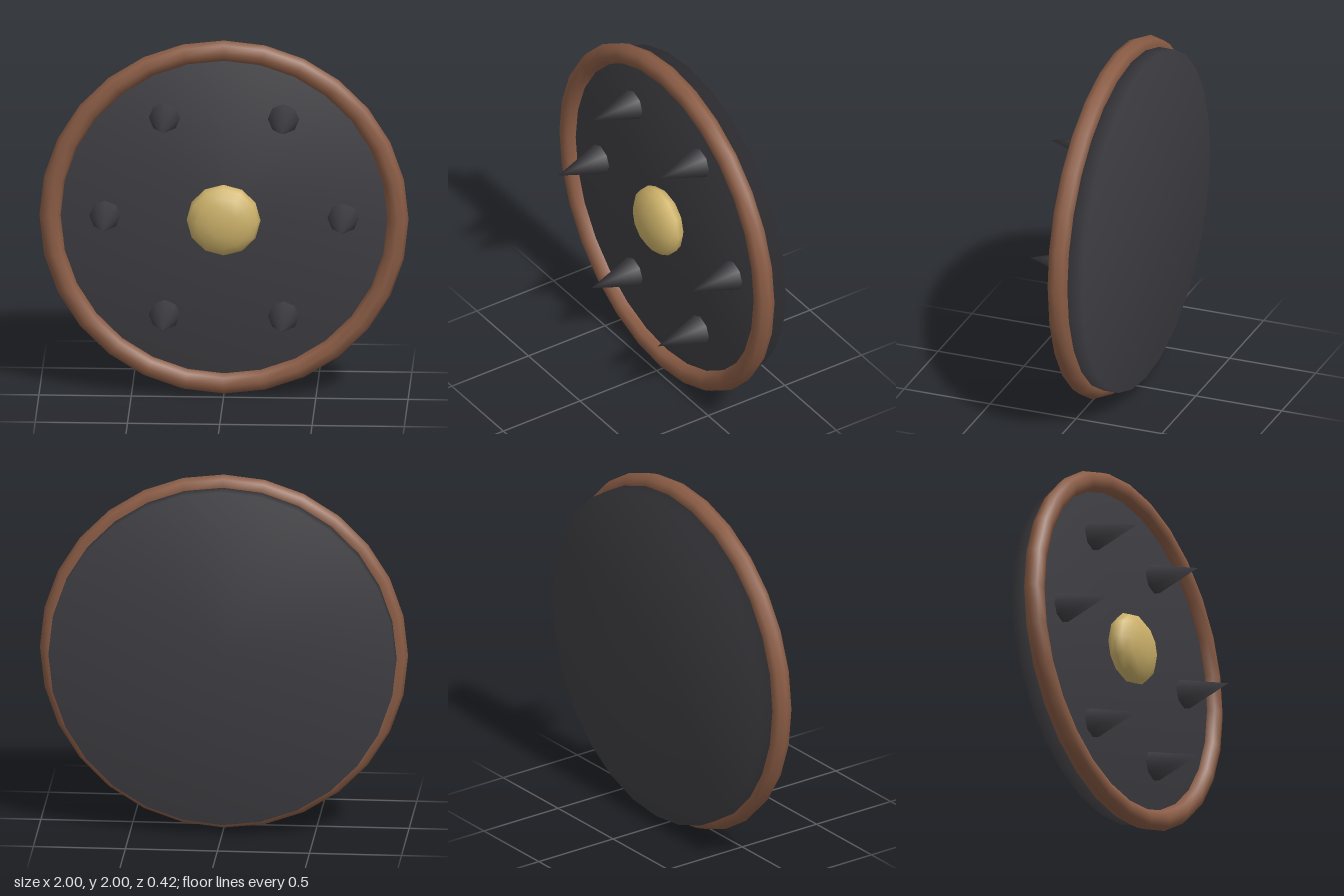
import * as THREE from 'three';
import { mergeVertices } from 'three/addons/utils/BufferGeometryUtils.js';

const CENTRE_Y = 1;
const FACE_Z = -0.067; // front face of the disc
const BACK_Z = -0.21;
const RADIUS = 0.9425;
const TUBE = 0.0575;

// Weld corners so the shading rolls softly over the edges
function soften(geometry) {
  geometry.deleteAttribute('normal');
  geometry.deleteAttribute('uv');
  const welded = mergeVertices(geometry, 1e-4);
  welded.computeVertexNormals();
  return welded;
}

export function createModel() {
  const model = new THREE.Group();
  model.name = 'roundShield';

  const iron = new THREE.MeshStandardMaterial({ color: 0x3e3d42 });
  const leather = new THREE.MeshStandardMaterial({ color: 0x8a5c45 });
  const brass = new THREE.MeshStandardMaterial({ color: 0xcdb26a });

  const add = (name, geometry, material, x, y, z) => {
    const mesh = new THREE.Mesh(geometry, material);
    mesh.name = name;
    mesh.position.set(x, CENTRE_Y + y, z);
    model.add(mesh);
    return mesh;
  };

  // Thick disc, axis turned to face the front
  const depth = FACE_Z - BACK_Z;
  const disc = new THREE.CylinderGeometry(RADIUS, RADIUS, depth, 28).rotateX(Math.PI / 2);
  add('disc', soften(disc), iron, 0, 0, (FACE_Z + BACK_Z) / 2);

  // Rounded rim around the front edge
  add('rim', new THREE.TorusGeometry(RADIUS, TUBE, 8, 28), leather, 0, 0, FACE_Z);

  // Flattened central boss
  const boss = new THREE.SphereGeometry(0.2, 12, 8).rotateX(Math.PI / 2).scale(1, 1, 0.5);
  add('boss', boss, brass, 0, 0, -0.01);

  // Ring of six spikes
  const length = 0.21 - FACE_Z;
  const spike = soften(new THREE.ConeGeometry(0.085, length, 8).rotateX(Math.PI / 2));
  for (let i = 0; i < 6; i++) {
    const a = (i * Math.PI) / 3;
    add(`spike${i + 1}`, spike, iron, 0.645 * Math.cos(a), 0.645 * Math.sin(a), FACE_Z + length / 2);
  }

  return model;
}
